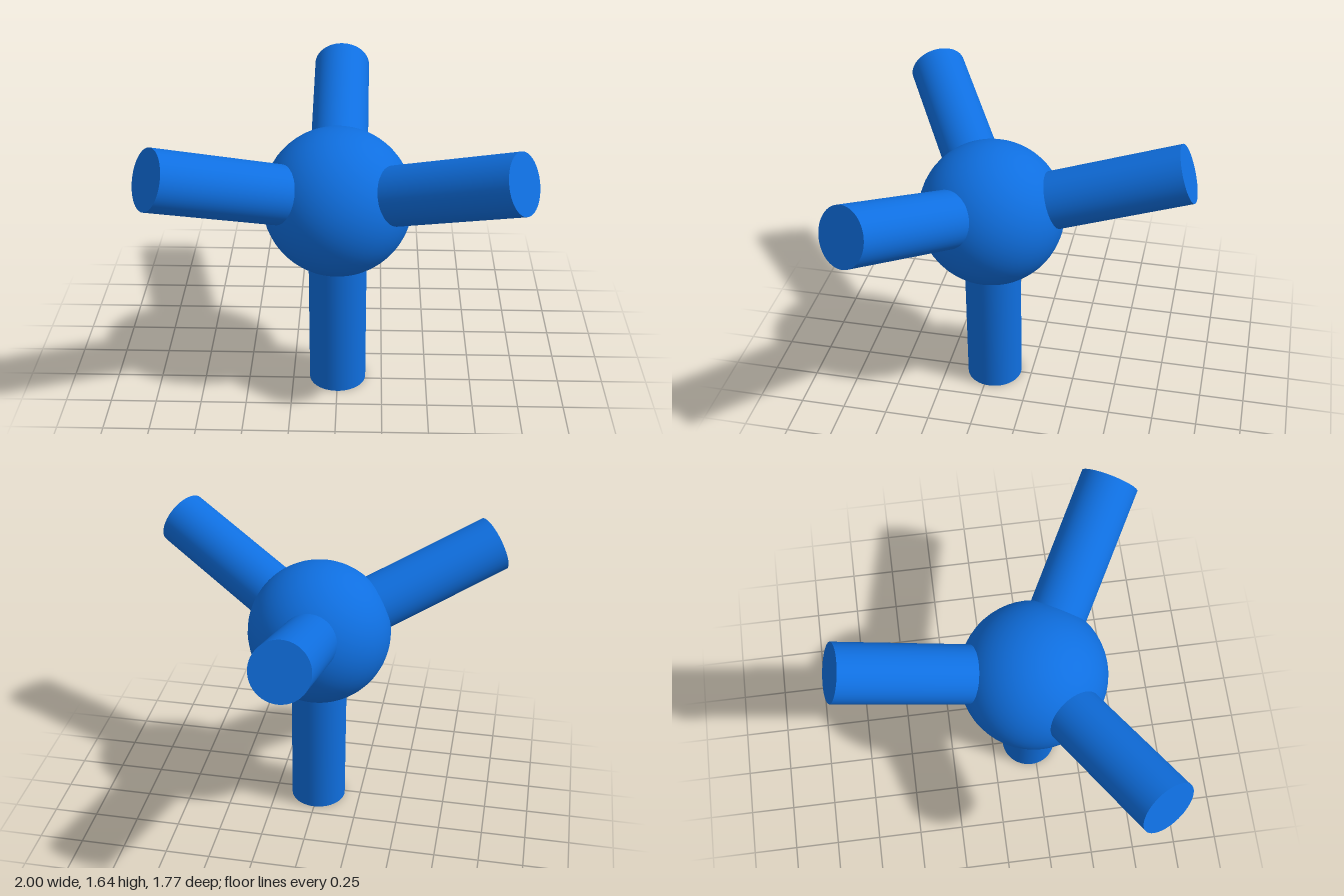
import * as THREE from 'three';

export function createModel() {
  const model = new THREE.Group();
  const material = new THREE.MeshStandardMaterial({ color: 0x0f6fe0 });
  const centre = new THREE.Vector3(0, 1.115, 0.22);
  const reach = 1.115;

  // Central ball
  const ball = new THREE.Mesh(new THREE.SphereGeometry(0.4, 48, 32), material);
  ball.name = 'ball';
  ball.position.copy(centre);
  model.add(ball);

  // Rod running from the ball's centre outward along a direction
  const rodGeometry = new THREE.CylinderGeometry(0.158, 0.158, reach, 48);
  rodGeometry.translate(0, reach / 2, 0);
  const up = new THREE.Vector3(0, 1, 0);
  function addRod(name, direction) {
    const rod = new THREE.Mesh(rodGeometry, material);
    rod.name = name;
    rod.position.copy(centre);
    rod.quaternion.setFromUnitVectors(up, direction.normalize());
    model.add(rod);
  }

  // Four rods in a tetrahedral arrangement: one down, three raised around it
  addRod('bottomRod', new THREE.Vector3(0, -1, 0));
  ['leftRod', 'backRod', 'rightRod'].forEach((name, i) => {
    const azimuth = Math.PI / 3 + (i * 2 * Math.PI) / 3;
    const spread = Math.sqrt(8) / 3;
    addRod(name, new THREE.Vector3(spread * Math.sin(azimuth), 1 / 3, spread * Math.cos(azimuth)));
  });

  return model;
}
